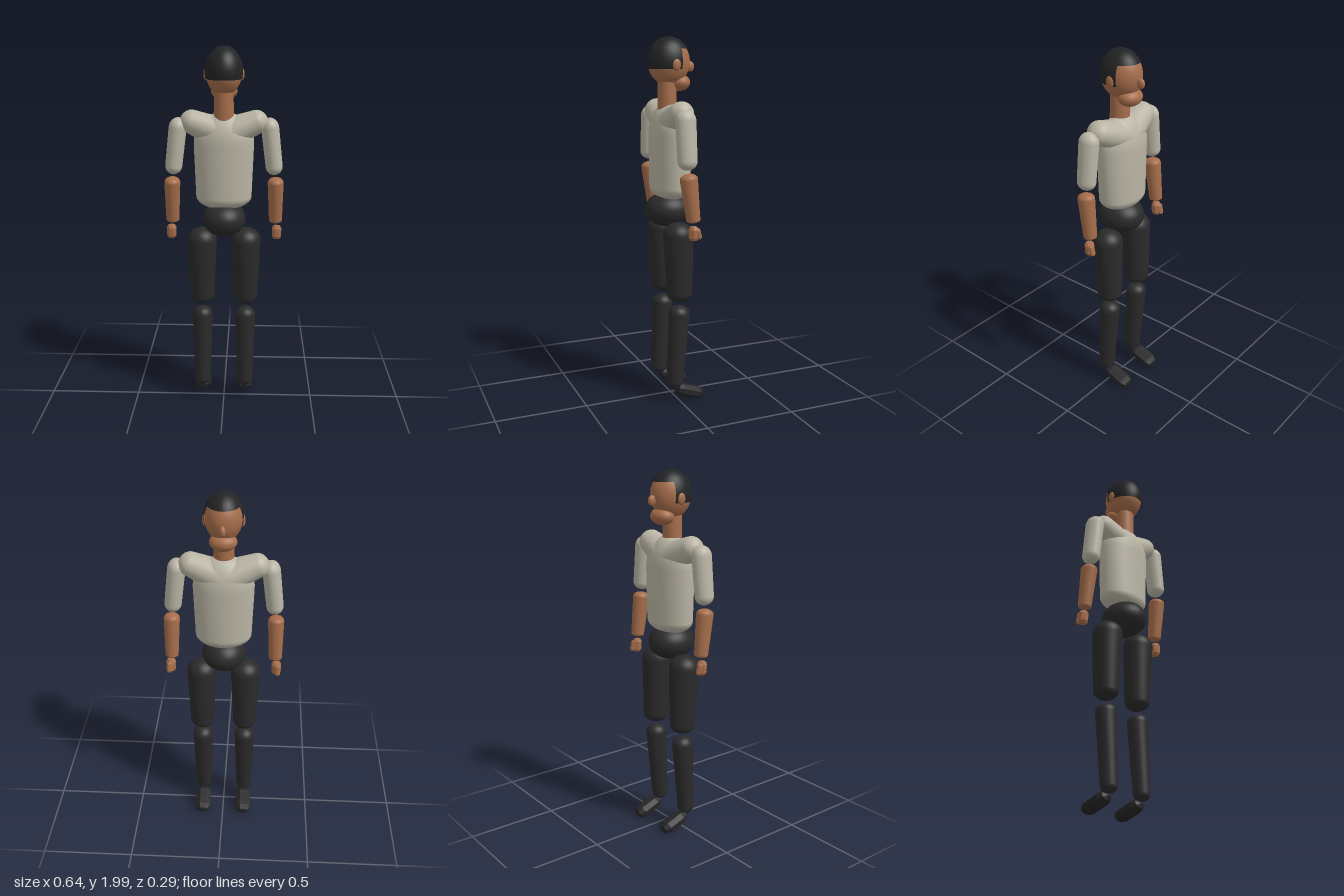
import * as THREE from 'three';
import { mergeVertices } from 'three/addons/utils/BufferGeometryUtils.js';

const mat = (name, color) => new THREE.MeshStandardMaterial({ name, color });
const V = (x, y, z) => new THREE.Vector3(x, y, z);
const UP = V(0, 1, 0);

// Tapered capsule from tip a to tip b; ra / rb are [x, z] radii at each end
function limbGeometry(a, b, ra, rb, capA, capB, sides = 32, rings = 8) {
  const axis = b.clone().sub(a);
  const len = axis.length();
  const pts = [];
  for (let i = 0; i <= rings; i++) {
    const t = (i / rings) * Math.PI / 2;
    pts.push(new THREE.Vector2(Math.sin(t), capA * (1 - Math.cos(t))));
  }
  for (let i = rings; i >= 0; i--) {
    const t = (i / rings) * Math.PI / 2;
    pts.push(new THREE.Vector2(i ? Math.sin(t) : 0, len - capB * (1 - Math.cos(t))));
  }
  let g = new THREE.LatheGeometry(pts, sides, Math.PI / sides);
  const p = g.attributes.position;
  for (let i = 0; i < p.count; i++) {
    const t = p.getY(i) / len;
    p.setX(i, p.getX(i) * THREE.MathUtils.lerp(ra[0], rb[0], t));
    p.setZ(i, p.getZ(i) * THREE.MathUtils.lerp(ra[1], rb[1], t));
  }
  g.deleteAttribute('uv');
  g.deleteAttribute('normal');
  g = mergeVertices(g, 1e-5);
  g.applyQuaternion(new THREE.Quaternion().setFromUnitVectors(UP, axis.normalize()));
  g.translate(a.x, a.y, a.z);
  g.computeVertexNormals();
  return g;
}

// Low-poly version with flat facets
function facetedGeometry(...args) {
  const g = limbGeometry(...args, 8, 2).toNonIndexed();
  g.computeVertexNormals();
  return g;
}

// Band of the hair ellipsoid between two heights, optionally open at the face
function hairGeometry(y0, y1, faceZ) {
  const g = new THREE.PlaneGeometry(1, 1, 48, 16);
  const p = g.attributes.position;
  const [cy, cz, rx, ry, rz] = [1.87, 0.01, 0.1, 0.13, 0.118];
  for (let i = 0; i < p.count; i++) {
    const u = p.getX(i) + 0.5, v = Math.sin((p.getY(i) + 0.5) * Math.PI / 2);
    const y = y0 + (y1 - y0) * v;
    const s = Math.sqrt(Math.max(0, 1 - ((y - cy) / ry) ** 2));
    const open = faceZ === null ? Math.PI / 2 : Math.asin(Math.min(1, (cz - faceZ) / (rz * s)));
    const a = Math.PI + open - u * (Math.PI + 2 * open);
    p.setXYZ(i, rx * s * Math.cos(a), y, cz + rz * s * Math.sin(a));
  }
  g.computeVertexNormals();
  return g;
}

export function createModel() {
  const model = new THREE.Group();
  model.name = 'jointedFigure';
  const skin = mat('skin', 0xa56d4a);
  const shirt = mat('shirt', 0xb9b4a4);
  const trousers = mat('trousers', 0x2a2a2b);
  const shoes = mat('shoes', 0x242426);
  const hair = mat('hair', 0x222324);
  hair.side = THREE.DoubleSide;

  const add = (name, geometry, material) => {
    const m = new THREE.Mesh(geometry, material);
    m.name = name;
    model.add(m);
    return m;
  };
  const ball = (name, material, c, r) => {
    const m = add(name, new THREE.SphereGeometry(1, 36, 24), material);
    m.position.set(...c);
    m.scale.set(...r);
  };

  // Head
  ball('head', skin, [0, 1.87, 0.01], [0.096, 0.125, 0.114]);
  ball('jaw', skin, [0, 1.762, -0.047], [0.07, 0.046, 0.059]);
  ball('nose', skin, [0, 1.845, -0.112], [0.016, 0.028, 0.024]);
  add('hairCrown', hairGeometry(1.938, 2.0, null), hair);
  add('hairBack', hairGeometry(1.833, 1.938, -0.03), hair);
  add('neck', limbGeometry(V(0, 1.6, 0.02), V(0, 1.8, 0.02), [0.054, 0.052], [0.05, 0.05], 0.01, 0.01), skin);

  // Body
  add('torso', limbGeometry(V(0, 1.135, 0.004), V(0, 1.66, 0.006),
    [0.147, 0.104], [0.167, 0.106], 0.07, 0.17), shirt);
  ball('pelvis', trousers, [0, 1.083, 0.013], [0.117, 0.096, 0.13]);

  // Paired parts
  for (const [side, s] of [['left', 1], ['right', -1]]) {
    const limb = (name, material, a, b, ...rest) =>
      add(side + name, limbGeometry(V(s * a[0], a[1], a[2]), V(s * b[0], b[1], b[2]), ...rest), material);
    const facet = (name, material, a, b, ...rest) =>
      add(side + name, facetedGeometry(V(s * a[0], a[1], a[2]), V(s * b[0], b[1], b[2]), ...rest), material);

    ball(side + 'Ear', skin, [s * 0.094, 1.855, 0.005], [0.013, 0.032, 0.024]);

    // Arm
    limb('Shoulder', shirt, [-0.02, 1.53, 0.002], [0.228, 1.632, 0.013],
      [0.09, 0.104], [0.056, 0.056], 0.06, 0.05);
    limb('UpperArm', shirt, [0.273, 1.328, 0.018], [0.237, 1.632, 0.018],
      [0.045, 0.052], [0.048, 0.056], 0.045, 0.055);
    limb('Forearm', skin, [0.281, 1.055, -0.012], [0.277, 1.312, 0.018],
      [0.035, 0.036], [0.044, 0.049], 0.015, 0.03);

    // Hand
    facet('Hand', skin, [0.288, 0.96, -0.012], [0.288, 1.043, -0.008],
      [0.027, 0.028], [0.028, 0.026], 0.02, 0.02);
    facet('Thumb', skin, [0.295, 0.968, -0.042], [0.295, 1.03, -0.025],
      [0.016, 0.013], [0.018, 0.015], 0.012, 0.012);

    // Leg
    limb('Thigh', trousers, [0.12, 0.586, -0.005], [0.12, 1.03, 0.008],
      [0.064, 0.069], [0.084, 0.084], 0.05, 0.075);
    limb('Shin', trousers, [0.12, 0.096, 0.026], [0.12, 0.566, -0.004],
      [0.044, 0.045], [0.057, 0.06], 0.035, 0.05);
    facet('Foot', shoes, [0.12, 0.09, 0.02], [0.12, 0.032, -0.147],
      [0.048, 0.036], [0.048, 0.034], 0.04, 0.04);
  }
  return model;
}
